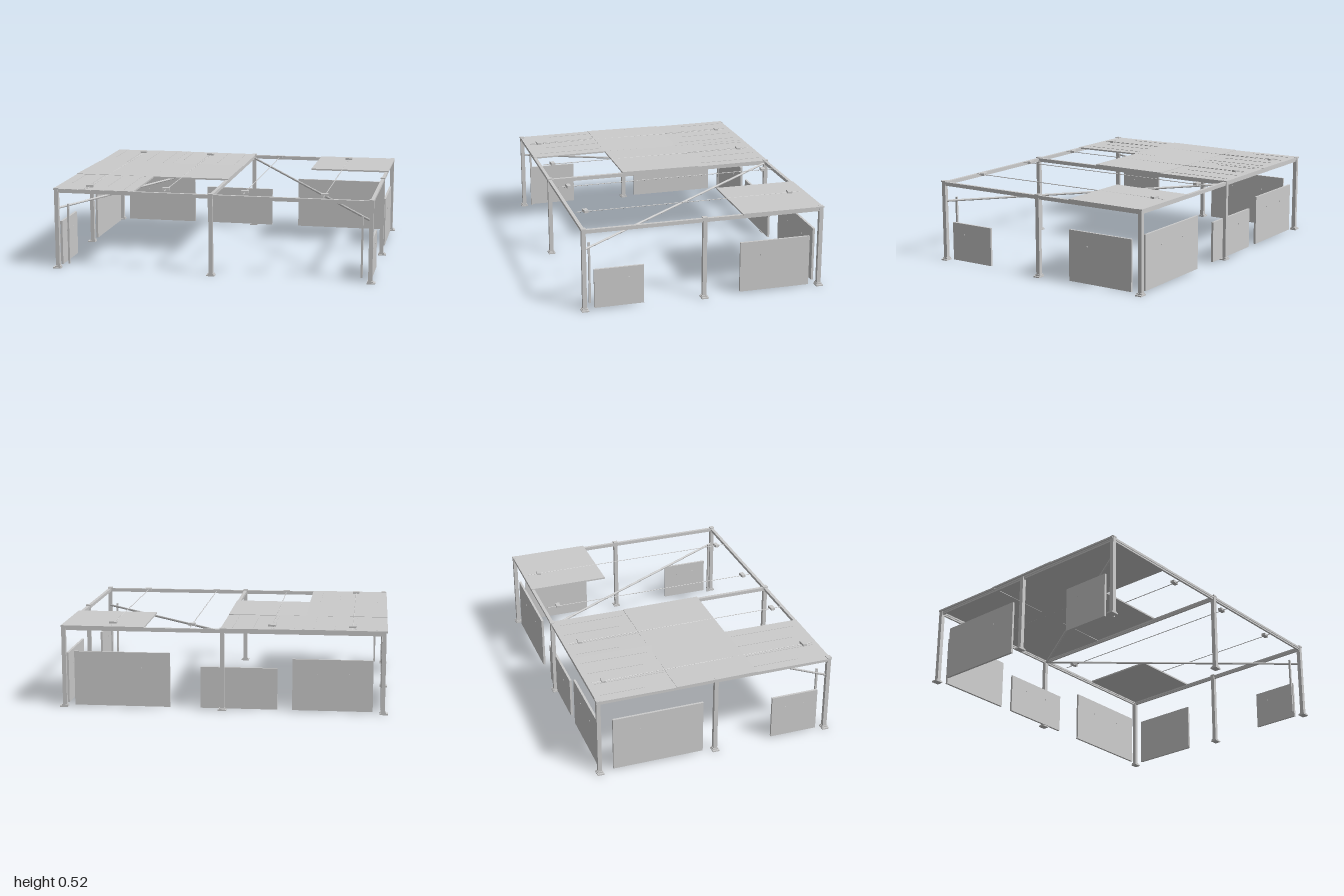
import * as THREE from 'three';

const grey = new THREE.MeshStandardMaterial({ color: 0xcccccc, flatShading: true });

// Box given by its size and centre
function box(parent, name, size, pos, rot = [0, 0, 0]) {
  const mesh = new THREE.Mesh(new THREE.BoxGeometry(...size), grey);
  mesh.name = name;
  mesh.position.set(...pos);
  mesh.rotation.set(...rot);
  parent.add(mesh);
  return mesh;
}

// Round bar between two points
function rod(parent, name, a, b, radius, sides = 8) {
  const from = new THREE.Vector3(...a), to = new THREE.Vector3(...b);
  const dir = to.clone().sub(from);
  const mesh = new THREE.Mesh(new THREE.CylinderGeometry(radius, radius, dir.length(), sides), grey);
  mesh.name = name;
  mesh.position.copy(from).add(to).multiplyScalar(0.5);
  mesh.quaternion.setFromUnitVectors(new THREE.Vector3(0, 1, 0), dir.normalize());
  parent.add(mesh);
}

function group(parent, name) {
  const g = new THREE.Group();
  g.name = name;
  parent.add(g);
  return g;
}

const X = 0.97, Z = 0.73;

// Column with stepped foot plate and cap
function post(parent, x, z) {
  const g = group(parent, 'post');
  g.position.set(x, 0, z);
  box(g, 'footPlate', [0.05, 0.008, 0.042], [Math.sign(x) * 0.005, 0.004, 0]);
  box(g, 'footCollar', [0.036, 0.008, 0.034], [0, 0.012, 0]);
  box(g, 'column', [0.025, 0.492, 0.025], [0, 0.258, 0]);
  box(g, 'cap', [0.03, 0.008, 0.03], [0, 0.505, 0]);
}

// Roof sheet with four slim seams running front to back
function roofPanel(parent, x, z, tiltX, tiltZ, lift, seams) {
  const g = group(parent, 'roofPanel');
  g.position.set(x, 0.5 + lift, z);
  g.rotation.set(tiltX, 0, tiltZ);
  box(g, 'sheet', [0.51, 0.01, 0.508], [0, 0, 0]);
  if (!seams) return;
  [-0.19, -0.065, 0.06, 0.185].forEach((sx, i) => {
    const length = [0.28, 0.44, 0.36, 0.42][i];
    box(g, 'seam', [0.004, 0.003, length], [sx, 0.0055, -0.22 + length / 2]);
  });
}

// Wall sheet fixed with a few bolts on its outer face
function wallPanel(parent, width, height, pos, turn) {
  const g = group(parent, 'wallPanel');
  g.position.set(...pos);
  g.rotation.y = turn;
  box(g, 'sheet', [width, height, 0.014], [0, 0.01 + height / 2, 0]);
  for (const s of [-1, 1])
    box(g, 'bolt', [0.008, 0.008, 0.018], [s * width * 0.2, 0.01 + height * 0.72, 0]);
}

export function createModel() {
  const model = new THREE.Group();
  model.name = 'shelter';

  // Posts around the perimeter
  const posts = group(model, 'posts');
  for (const x of [-X, 0, X])
    for (const z of [-Z, 0, Z])
      if (x !== 0 || z !== 0) post(posts, x, z);

  // Roof beams, each with a slimmer rail underneath
  const frame = group(model, 'roofFrame');
  for (const z of [-Z, Z]) {
    box(frame, 'crossBeam', [2 * X, 0.014, 0.02], [0, 0.495, z]);
    box(frame, 'crossRail', [2 * X, 0.01, 0.012], [0, 0.483, z]);
  }
  for (const x of [-X, 0, X]) {
    box(frame, 'longBeam', [0.02, 0.014, 2 * Z], [x, 0.495, 0]);
    box(frame, 'longRail', [0.012, 0.01, 2 * Z], [x, 0.483, 0]);
  }

  // Diagonal braces and the short props at their low ends
  for (const s of [-1, 1]) {
    rod(model, 'brace', [0, 0.484, -Z + 0.01], [s * 0.965, 0.38, Z - 0.01], 0.007);
    box(model, 'prop', [0.012, 0.38, 0.012], [s * 0.913, 0.21, 0.685]);
  }

  // Roof sheets, slightly uneven
  const roof = group(model, 'roof');
  roofPanel(roof, -0.735, -0.487, 0.008, 0.004, 0.002, true);
  roofPanel(roof, -0.735, 0.0, -0.006, -0.003, 0.003, false);
  roofPanel(roof, -0.735, 0.485, 0.008, 0.003, 0.001, true);
  roofPanel(roof, -0.245, -0.487, 0.006, -0.004, 0.001, true);
  roofPanel(roof, -0.245, -0.003, -0.005, 0.004, 0.003, false);
  roofPanel(roof, 0.73, -0.487, -0.004, 0.003, 0.003, false);

  // Thin cables along the roof, ending in small boxes
  for (const x of [-0.78, -0.295, 0.195, 0.68]) {
    rod(model, 'cable', [x, 0.507, -0.71], [x, 0.507, 0.71], 0.0025, 6);
    for (const z of [-0.638, 0.65])
      box(model, 'cableBox', [0.045, 0.016, 0.026], [x, 0.511, z], [0, Math.sign(z) * 0.1, 0]);
  }

  // Wall sheets: [centre along wall, width, height]
  const walls = group(model, 'walls');
  for (const [x, w, h] of [[-0.667, 0.485, 0.315], [-0.1, 0.468, 0.255], [0.615, 0.59, 0.335]])
    wallPanel(walls, w, h, [x, 0, -0.715], 0);
  for (const [z, w, h] of [[0.52, 0.3, 0.24], [-0.445, 0.44, 0.313]])
    wallPanel(walls, w, h, [0.965, 0, z], Math.PI / 2);
  for (const [z, w, h] of [[0.52, 0.3, 0.275], [-0.36, 0.565, 0.342]])
    wallPanel(walls, w, h, [-0.965, 0, z], -Math.PI / 2);

  return model;
}
